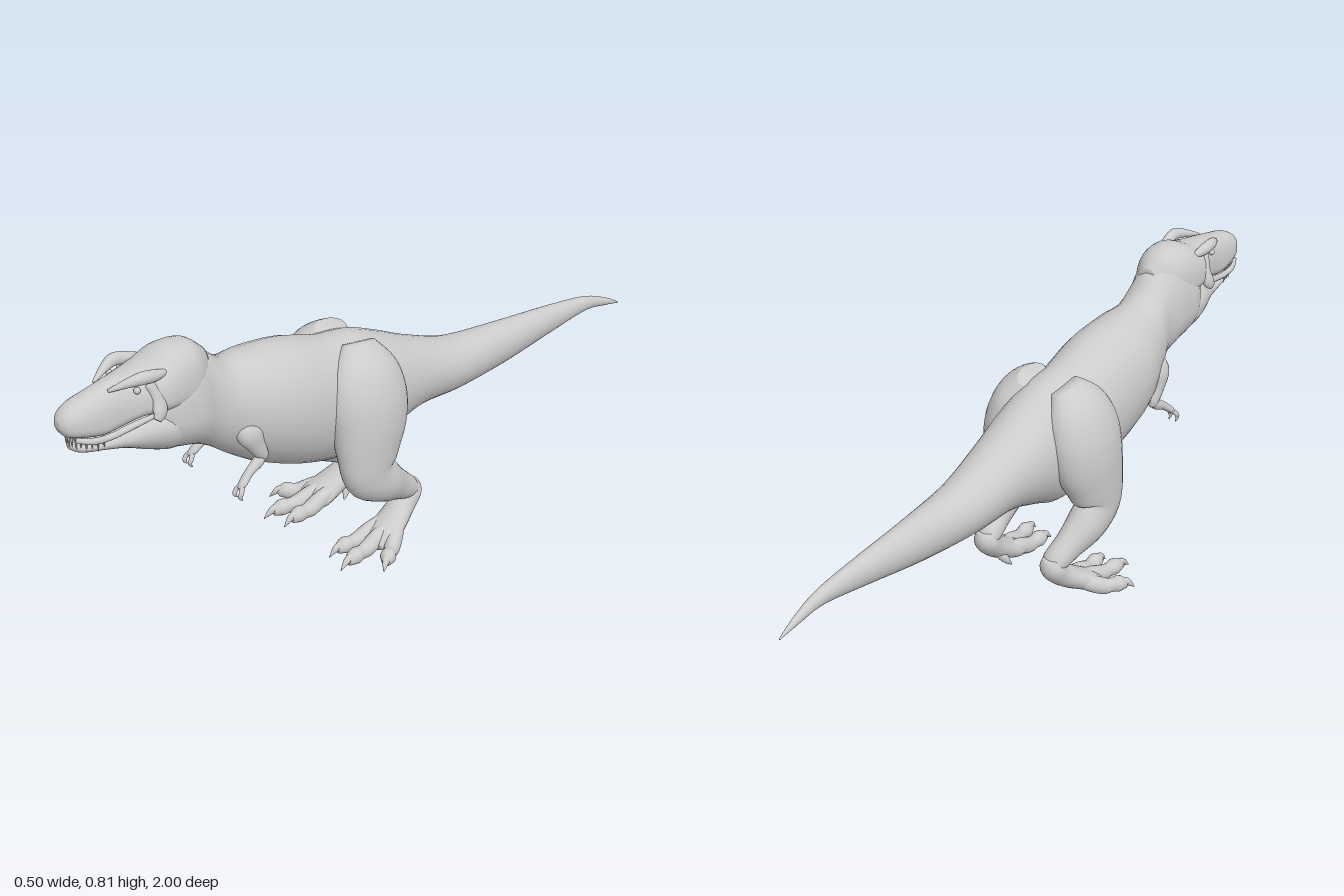
import * as THREE from 'three';

const skin = new THREE.MeshStandardMaterial({ color: 0xcccccc, roughness: 0.8 });
const SIDES = 32;

// Catmull-Rom through rows of numbers, column by column
function smoothRows(rows, steps) {
  const out = [];
  const n = rows.length;
  for (let i = 0; i < n - 1; i++) {
    const a = rows[Math.max(i - 1, 0)], b = rows[i], c = rows[i + 1], d = rows[Math.min(i + 2, n - 1)];
    for (let k = 0; k < steps; k++) {
      const t = k / steps;
      out.push(b.map((v, j) => 0.5 * (2 * v + (c[j] - a[j]) * t
        + (2 * a[j] - 5 * v + 4 * c[j] - d[j]) * t * t
        + (3 * v - a[j] - 3 * c[j] + d[j]) * t * t * t)));
    }
  }
  out.push(rows[n - 1]);
  return out;
}

// Closed skin over rings of equal length, turned outward by its signed volume
function skinRings(name, rings) {
  const n = rings[0].length, pts = rings.flat(), idx = [];
  for (let r = 0; r < rings.length - 1; r++) {
    for (let i = 0; i < n; i++) {
      const a = r * n + i, b = r * n + (i + 1) % n;
      idx.push(a, b, a + n, b, b + n, a + n);
    }
  }
  for (const r of [0, rings.length - 1]) {
    const centre = new THREE.Vector3();
    rings[r].forEach((p) => centre.addScaledVector(p, 1 / n));
    const c = pts.push(centre) - 1;
    for (let i = 0; i < n; i++) {
      const a = r * n + i, b = r * n + (i + 1) % n;
      if (r === 0) idx.push(c, b, a); else idx.push(c, a, b);
    }
  }
  let volume = 0;
  const cross = new THREE.Vector3();
  for (let i = 0; i < idx.length; i += 3) {
    volume += pts[idx[i]].dot(cross.crossVectors(pts[idx[i + 1]], pts[idx[i + 2]]));
  }
  if (volume < 0) idx.reverse();
  const geo = new THREE.BufferGeometry().setFromPoints(pts);
  geo.setIndex(idx);
  geo.computeVertexNormals();
  const mesh = new THREE.Mesh(geo, skin);
  mesh.name = name;
  return mesh;
}

// Upright sections: [z, top, bottom, halfWidth, height of widest point 0..1, centre x]
function trunk(name, rows, power = 1) {
  const bend = (v) => Math.sign(v) * Math.abs(v) ** power;
  return skinRings(name, smoothRows(rows, 6).map(([z, top, bottom, w, f, cx]) => {
    const mid = bottom + (top - bottom) * f, ring = [];
    for (let i = 0; i < SIDES; i++) {
      const a = i / SIDES * Math.PI * 2, s = bend(Math.sin(a));
      ring.push(new THREE.Vector3(cx + w * bend(Math.cos(a)), mid + s * (s > 0 ? top - mid : mid - bottom), z));
    }
    return ring;
  }));
}

// Limb along a path: [x, y, z, sideways radius, radius across the path]
function limb(name, rows, side = 1, sides = 20) {
  const path = smoothRows(rows, 5);
  const at = (i) => new THREE.Vector3(side * path[i][0], path[i][1], path[i][2]);
  return skinRings(name, path.map((row, i) => {
    const tangent = at(Math.min(i + 1, path.length - 1)).sub(at(Math.max(i - 1, 0))).normalize();
    const across = new THREE.Vector3().crossVectors(tangent, new THREE.Vector3(1, 0, 0)).normalize();
    const lateral = new THREE.Vector3().crossVectors(across, tangent);
    const ring = [];
    for (let k = 0; k < sides; k++) {
      const a = k / sides * Math.PI * 2;
      ring.push(at(i).addScaledVector(lateral, Math.cos(a) * row[3]).addScaledVector(across, Math.sin(a) * row[4]));
    }
    return ring;
  }));
}

function makeHead() {
  const head = new THREE.Group();
  head.name = 'head';
  head.position.x = 0.02;
  head.add(trunk('skull', [
    [0.997, 0.71, 0.688, 0.012, 0.4, 0], [0.982, 0.73, 0.665, 0.032, 0.4, 0],
    [0.95, 0.747, 0.652, 0.045, 0.35, 0], [0.89, 0.761, 0.638, 0.052, 0.3, 0],
    [0.84, 0.771, 0.643, 0.056, 0.3, 0], [0.79, 0.777, 0.655, 0.07, 0.3, 0],
    [0.74, 0.785, 0.655, 0.084, 0.3, 0], [0.68, 0.807, 0.64, 0.086, 0.35, 0],
    [0.61, 0.802, 0.62, 0.072, 0.4, 0], [0.56, 0.76, 0.64, 0.035, 0.4, 0],
  ], 0.88));
  head.add(trunk('lowerJaw', [
    [0.968, 0.637, 0.62, 0.01, 0.5, 0], [0.945, 0.642, 0.607, 0.034, 0.5, 0],
    [0.88, 0.637, 0.592, 0.045, 0.5, 0], [0.82, 0.643, 0.573, 0.054, 0.5, 0],
    [0.76, 0.665, 0.546, 0.077, 0.55, 0], [0.7, 0.67, 0.525, 0.086, 0.55, 0],
    [0.63, 0.64, 0.52, 0.06, 0.5, 0],
  ]));
  for (const s of [1, -1]) {
    head.add(limb('browRidge', [
      [0.03, 0.757, 0.865, 0.004, 0.004], [0.05, 0.771, 0.82, 0.012, 0.012],
      [0.062, 0.777, 0.785, 0.015, 0.017], [0.06, 0.77, 0.745, 0.014, 0.015], [0.055, 0.765, 0.7, 0.004, 0.004],
    ], s));
    head.add(limb('cheekRidge', [
      [0.06, 0.755, 0.765, 0.01, 0.012], [0.073, 0.71, 0.75, 0.013, 0.018],
      [0.083, 0.68, 0.752, 0.013, 0.02], [0.089, 0.662, 0.765, 0.006, 0.012],
    ], s));
    head.add(limb('lip', [
      [0.034, 0.66, 0.968, 0.005, 0.006], [0.05, 0.65, 0.93, 0.007, 0.009],
      [0.053, 0.645, 0.88, 0.008, 0.009], [0.06, 0.655, 0.82, 0.009, 0.009], [0.078, 0.672, 0.76, 0.006, 0.006],
    ], s, 12));
    const eye = new THREE.Mesh(new THREE.SphereGeometry(0.009, 16, 12), skin);
    eye.name = 'eye';
    eye.position.set(s * 0.059, 0.747, 0.8);
    head.add(eye);
  }
  // Teeth follow the front curve of the jaws
  const toothShape = new THREE.ConeGeometry(0.0045, 1, 8);
  const addTeeth = (name, count, rx, rz, y, zc, dir) => {
    for (let i = 0; i < count; i++) {
      const a = Math.PI * (0.04 + 0.92 * i / (count - 1));
      const tooth = new THREE.Mesh(toothShape, skin);
      const long = 0.026 + 0.01 * Math.abs(Math.cos(a)) + (i % 2) * 0.006;
      tooth.name = name;
      tooth.scale.y = long;
      tooth.rotation.x = dir < 0 ? Math.PI : 0;
      tooth.position.set(rx * Math.cos(a), y - 0.012 * Math.abs(Math.cos(a)) + dir * long / 2, zc + rz * Math.sin(a));
      head.add(tooth);
    }
  };
  addTeeth('upperTooth', 16, 0.046, 0.085, 0.662, 0.885, -1);
  addTeeth('lowerTooth', 11, 0.038, 0.07, 0.63, 0.885, 1);
  return head;
}

function makeLeg(s) {
  const leg = new THREE.Group();
  leg.name = s > 0 ? 'leftLeg' : 'rightLeg';
  leg.add(limb('thighAndShin', [
    [0.055, 0.615, 0.075, 0.03, 0.05], [0.083, 0.56, 0.083, 0.067, 0.1],
    [0.107, 0.49, 0.09, 0.079, 0.122], [0.122, 0.41, 0.095, 0.078, 0.12],
    [0.136, 0.33, 0.11, 0.064, 0.1], [0.145, 0.265, 0.112, 0.052, 0.08],
    [0.141, 0.215, 0.06, 0.052, 0.062], [0.129, 0.175, 0.005, 0.041, 0.046],
    [0.118, 0.142, -0.045, 0.037, 0.034], [0.117, 0.125, -0.07, 0.028, 0.02],
  ], s, 28));
  leg.add(limb('instep', [
    [0.117, 0.155, -0.062, 0.024, 0.02], [0.117, 0.127, -0.058, 0.037, 0.034],
    [0.121, 0.093, -0.028, 0.039, 0.034], [0.131, 0.06, 0.02, 0.048, 0.032],
    [0.14, 0.034, 0.07, 0.056, 0.028], [0.142, 0.025, 0.1, 0.035, 0.018],
  ], s, 24));
  // Toes: [root x, root z, tip x, tip z]
  for (const [x0, z0, x1, z1] of [[0.108, 0.03, 0.1, 0.19], [0.138, 0.03, 0.164, 0.205], [0.15, 0.01, 0.235, 0.13]]) {
    const row = (t, y, r, h) => [x0 + (x1 - x0) * t, y, z0 + (z1 - z0) * t, r, h];
    leg.add(limb('toe', [
      row(0, 0.06, 0.018, 0.016), row(0.3, 0.042, 0.022, 0.024), row(0.55, 0.027, 0.022, 0.024),
      row(0.7, 0.026, 0.019, 0.021), row(0.85, 0.027, 0.022, 0.024), row(1, 0.022, 0.012, 0.013),
    ], s, 16));
    leg.add(limb('toeClaw', [
      row(0.92, 0.032, 0.011, 0.013), row(1.03, 0.027, 0.009, 0.011), row(1.17, 0.008, 0.001, 0.001),
    ], s, 12));
  }
  leg.add(limb('dewClaw', [
    [0.105, 0.07, -0.02, 0.014, 0.014], [0.092, 0.045, -0.005, 0.012, 0.012], [0.082, 0.022, 0.012, 0.002, 0.002],
  ], s, 12));
  return leg;
}

function makeArm(s) {
  const arm = new THREE.Group();
  arm.name = s > 0 ? 'leftArm' : 'rightArm';
  arm.add(limb('upperArm', [
    [0.075, 0.55, 0.47, 0.015, 0.025], [0.088, 0.51, 0.47, 0.028, 0.042],
    [0.094, 0.465, 0.455, 0.022, 0.027], [0.097, 0.43, 0.438, 0.016, 0.018], [0.097, 0.415, 0.438, 0.01, 0.012],
  ], s));
  arm.add(limb('forearm', [
    [0.097, 0.432, 0.437, 0.01, 0.01], [0.098, 0.415, 0.45, 0.015, 0.016],
    [0.102, 0.395, 0.485, 0.012, 0.012], [0.107, 0.375, 0.51, 0.013, 0.01], [0.109, 0.362, 0.522, 0.008, 0.006],
  ], s));
  for (const x of [0.097, 0.12]) {
    arm.add(limb('finger', [
      [0.107, 0.375, 0.51, 0.007, 0.007], [x, 0.358, 0.525, 0.006, 0.007],
      [x, 0.345, 0.53, 0.005, 0.006], [x, 0.333, 0.522, 0.001, 0.001],
    ], s, 10));
  }
  return arm;
}

export function createModel() {
  const model = new THREE.Group();
  model.name = 'dinosaur';
  // Neck, torso and tail in one smooth form
  model.add(trunk('body', [
    [0.76, 0.73, 0.57, 0.05, 0.4, 0.018], [0.7, 0.785, 0.528, 0.088, 0.37, 0.018],
    [0.62, 0.795, 0.503, 0.092, 0.38, 0.017], [0.56, 0.752, 0.47, 0.082, 0.45, 0.012],
    [0.49, 0.698, 0.415, 0.1, 0.5, 0.004], [0.4, 0.69, 0.355, 0.126, 0.5, 0],
    [0.28, 0.675, 0.3, 0.132, 0.5, 0], [0.16, 0.638, 0.265, 0.124, 0.5, 0],
    [0.05, 0.62, 0.25, 0.122, 0.5, 0], [-0.05, 0.578, 0.285, 0.112, 0.5, 0],
    [-0.16, 0.525, 0.314, 0.094, 0.5, 0], [-0.31, 0.47, 0.31, 0.076, 0.5, 0],
    [-0.5, 0.45, 0.32, 0.052, 0.5, 0], [-0.7, 0.433, 0.348, 0.031, 0.5, 0],
    [-0.85, 0.413, 0.368, 0.018, 0.5, 0], [-0.94, 0.38, 0.355, 0.01, 0.5, 0],
    [-1, 0.346, 0.342, 0.002, 0.5, 0],
  ]));
  model.add(makeHead());
  for (const s of [1, -1]) model.add(makeLeg(s), makeArm(s));
  return model;
}
